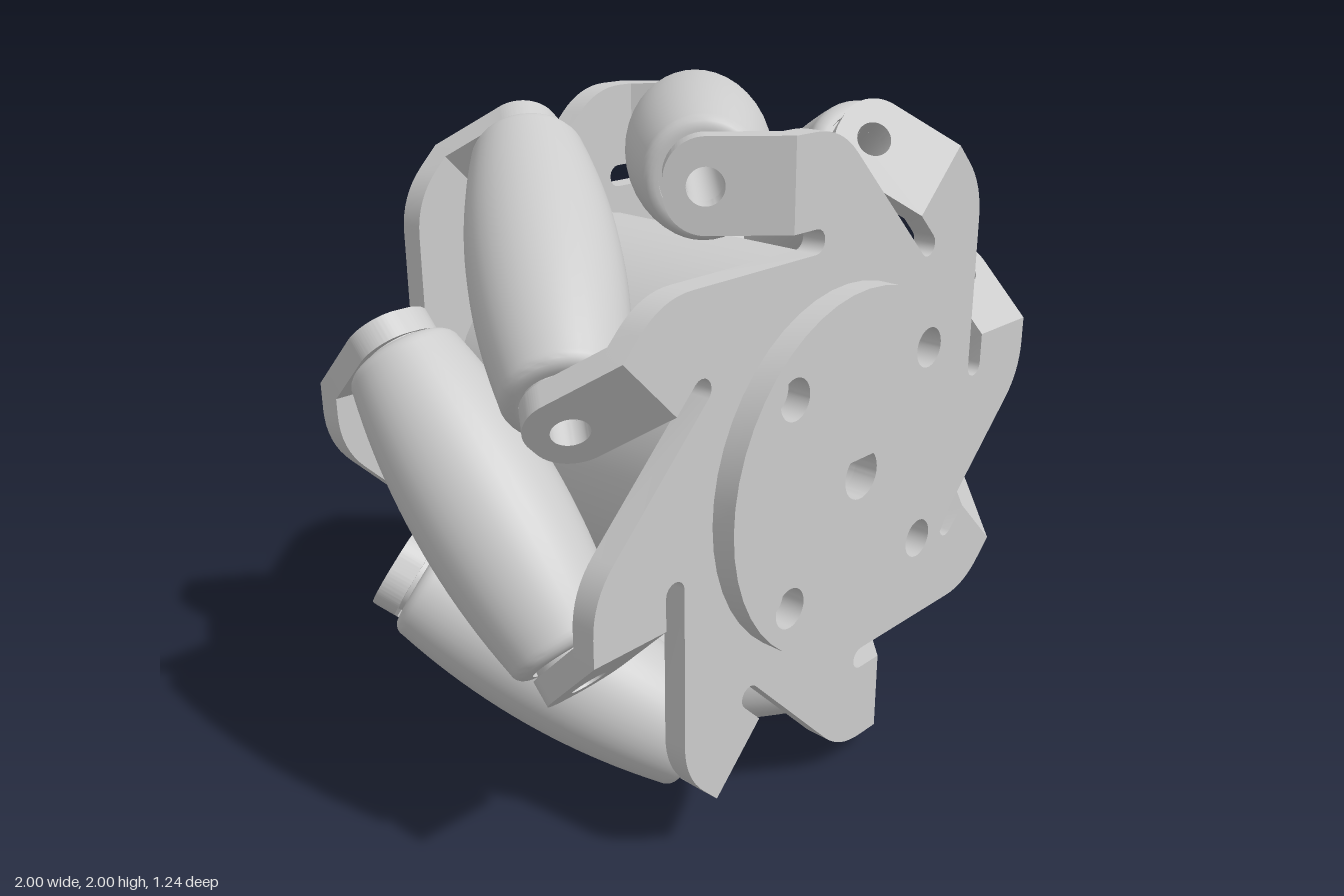
import * as THREE from 'three';
import { toCreasedNormals } from 'three/addons/utils/BufferGeometryUtils.js';

const COUNT = 8;
const STEP = (2 * Math.PI) / COUNT;
const AXIS_R = 0.8; // distance of roller axes from the wheel centre
const PLATE_IN = 0.46, PLATE_OUT = 0.53, THICK = 0.07;
const BEND_X = -0.225; // where each arm folds into its tab
const D = Math.SQRT1_2;

const material = new THREE.MeshStandardMaterial({ color: 0xcccccc });

function mesh(geometry, name) {
  const m = new THREE.Mesh(toCreasedNormals(geometry, 0.6), material);
  m.name = name;
  return m;
}

function extrude(shape, z0, z1) {
  const g = new THREE.ExtrudeGeometry(shape, { depth: z1 - z0, bevelEnabled: false, curveSegments: 24 });
  return g.translate(0, 0, z0);
}

function circlePath(x, y, r) {
  const p = new THREE.Path();
  p.absarc(x, y, r, 0, Math.PI * 2, true);
  return p;
}

// four bolt holes and the D-shaped shaft bore
function addHubHoles(shape, withBore = true) {
  for (const x of [-0.29, 0.29]) for (const y of [-0.29, 0.29]) shape.holes.push(circlePath(x, y, 0.057));
  if (withBore) {
    const bore = new THREE.Path();
    const a = Math.asin(0.048 / 0.07);
    bore.absarc(0, 0, 0.07, Math.PI - a, 2 * Math.PI + a, false);
    bore.closePath();
    shape.holes.push(bore);
  }
  return shape;
}

function disc(r, z0, z1, name) {
  const s = new THREE.Shape();
  s.absarc(0, 0, r, 0, Math.PI * 2, false);
  return mesh(extrude(addHubHoles(s), z0, z1), name);
}

// pinwheel plate: every arm has a slot, a straight fold edge and a rounded shoulder
function plateGeometry() {
  const pts = [];
  const shoulder = new THREE.QuadraticBezierCurve(
    new THREE.Vector2(-0.15, 0.92), new THREE.Vector2(-0.05, 0.92), new THREE.Vector2(0.02, 0.85));
  for (let k = 0; k < COUNT; k++) {
    const arm = [];
    for (let i = 0; i <= 8; i++) {
      const a = -Math.PI / 2 + (i / 8) * Math.PI;
      arm.push(new THREE.Vector2(-0.135 + 0.0325 * Math.cos(a), 0.6475 + 0.0325 * Math.sin(a)));
    }
    arm.push(new THREE.Vector2(BEND_X, 0.68), new THREE.Vector2(BEND_X, 0.92));
    arm.push(...shoulder.getPoints(8));
    const centre = new THREE.Vector2();
    arm.forEach((p) => pts.push(p.rotateAround(centre, -k * STEP)));
  }
  return extrude(addHubHoles(new THREE.Shape(pts)), PLATE_IN, PLATE_OUT);
}

// tab folded 45 degrees inward, square to the roller axis
function tabGeometry() {
  const L = 0.32, lo = 0.68, hi = 0.92, r = 0.105;
  const s = new THREE.Shape();
  s.moveTo(0, lo);
  s.lineTo(L - r, lo);
  s.absarc(L - r, lo + r, r, -Math.PI / 2, 0, false);
  s.absarc(L - r, hi - r, r, 0, Math.PI / 2, false);
  s.lineTo(0, hi);
  s.closePath();
  s.holes.push(circlePath(0.216, AXIS_R, 0.048));
  const basis = new THREE.Matrix4().makeBasis(
    new THREE.Vector3(-D, 0, -D), new THREE.Vector3(0, 1, 0), new THREE.Vector3(D, 0, -D));
  basis.setPosition(BEND_X, 0, PLATE_OUT);
  return extrude(s, 0, THICK).applyMatrix4(basis);
}

// barrel roller with rounded rims, end collars and a through bore
function rollerGeometry() {
  const radius = (s) => 0.2 - 0.05 * (s / 0.45) ** 2;
  const half = [];
  for (let i = 0; i <= 10; i++) {
    const s = (i / 10) * 0.415;
    half.push([radius(s), s]);
  }
  const rim = radius(0.415);
  for (let i = 1; i <= 5; i++) {
    const a = (i / 5) * Math.PI / 2;
    half.push([rim - 0.035 * (1 - Math.cos(a)), 0.415 + 0.035 * Math.sin(a)]);
  }
  half.push([0.112, 0.45], [0.112, 0.43], [0.1, 0.43], [0.1, 0.464], [0.048, 0.464]);
  const lower = half.slice(1).reverse().map(([r, s]) => [r, -s]);
  const profile = [...lower, ...half, lower[0]].map(([r, s]) => new THREE.Vector2(r, s));
  const g = new THREE.LatheGeometry(profile, 40);
  const turn = new THREE.Quaternion().setFromUnitVectors(
    new THREE.Vector3(0, 1, 0), new THREE.Vector3(D, 0, -D));
  return g.applyQuaternion(turn).translate(0, AXIS_R, 0);
}

function sidePlate(name) {
  const side = new THREE.Group();
  side.name = name;
  side.add(mesh(plateGeometry(), 'armPlate'));
  const tab = mesh(tabGeometry(), 'rollerTab');
  for (let k = 0; k < COUNT; k++) {
    const t = tab.clone();
    t.rotation.z = k * STEP;
    side.add(t);
  }
  side.add(disc(0.515, PLATE_OUT, PLATE_OUT + THICK, 'flange'));
  return side;
}

export function createModel() {
  const model = new THREE.Group();
  model.name = 'rollerWheel';
  const wheel = new THREE.Group();
  wheel.name = 'wheel';
  wheel.position.set(0, 1, 0.015);
  model.add(wheel);

  // hub drum between the plates
  wheel.add(disc(0.55, -PLATE_IN, PLATE_IN, 'hubDrum'));

  // the back plate is the front plate turned half round
  const back = sidePlate('backPlate');
  back.rotation.y = Math.PI;
  wheel.add(sidePlate('frontPlate'), back);

  // solid boss closing the shaft bore at the back
  const boss = new THREE.CylinderGeometry(0.275, 0.275, 0.035, 48).rotateX(Math.PI / 2);
  const bossMesh = mesh(boss, 'backBoss');
  bossMesh.position.z = -0.6175;
  wheel.add(bossMesh);

  // ring of slanted rollers
  const roller = mesh(rollerGeometry(), 'roller');
  for (let k = 0; k < COUNT; k++) {
    const r = roller.clone();
    r.rotation.z = k * STEP;
    wheel.add(r);
  }
  return model;
}
